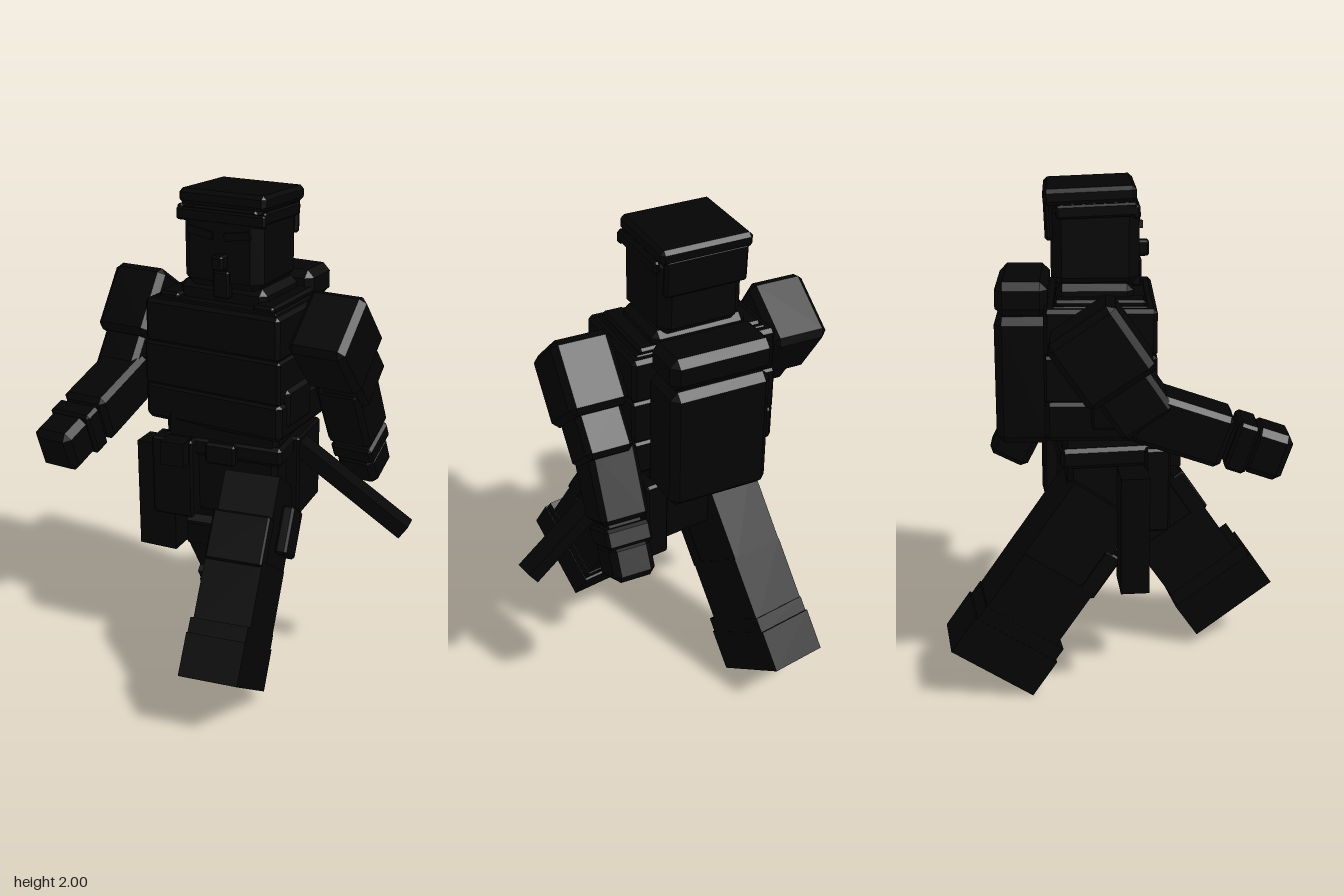
import * as THREE from 'three';
import { ConvexGeometry } from 'three/addons/geometries/ConvexGeometry.js';

const black = new THREE.MeshStandardMaterial({ color: 0x040404 });
black.name = 'matte black';

// Box with chamfered edges: each corner becomes three points
function chamferBox(w, h, d, c) {
  const pts = [];
  for (const x of [-1, 1]) for (const y of [-1, 1]) for (const z of [-1, 1]) {
    for (let k = 0; k < 3; k++) {
      pts.push(new THREE.Vector3(
        x * (w / 2 - (k === 0 ? 0 : c)),
        y * (h / 2 - (k === 1 ? 0 : c)),
        z * (d / 2 - (k === 2 ? 0 : c))));
    }
  }
  return new ConvexGeometry(pts);
}

// Adds a box; c > 0 chamfers it
function box(parent, name, size, pos, c = 0) {
  const geo = c > 0 ? chamferBox(...size, c) : new THREE.BoxGeometry(...size);
  const mesh = new THREE.Mesh(geo, black);
  mesh.name = name;
  mesh.position.set(...pos);
  parent.add(mesh);
  return mesh;
}

// Adds a joint that turns by yaw, then pitch
function joint(parent, name, pos, yaw = 0, pitch = 0) {
  const g = new THREE.Group();
  g.name = name;
  g.position.set(...pos);
  g.rotation.set(pitch, yaw, 0, 'YXZ');
  parent.add(g);
  return g;
}

function addLeg(root, side, pos, pitch) {
  const leg = joint(root, side > 0 ? 'leftLeg' : 'rightLeg', pos, 0.095, pitch);
  box(leg, 'thigh', [0.23, 0.36, 0.3], [0, -0.2, -0.03]);
  box(leg, 'kneePad', [0.235, 0.2, 0.08], [0, -0.285, 0.125], 0.008);
  box(leg, 'shin', [0.235, 0.28, 0.33], [0, -0.5, -0.015]);
  box(leg, 'bootCuff', [0.237, 0.07, 0.37], [0, -0.655, 0]);
  box(leg, 'boot', [0.24, 0.17, 0.39], [0, -0.765, 0]);
  if (side > 0) box(leg, 'thighPocket', [0.05, 0.2, 0.15], [0.14, -0.21, -0.06], 0.01);
}

function addArm(root, side, shoulder, elbow, pitch, bend, reach) {
  const arm = joint(root, side > 0 ? 'leftUpperArm' : 'rightUpperArm', shoulder, -0.08, pitch);
  box(arm, 'shoulderPad', [0.238, 0.29, 0.29], [0, 0, 0], 0.025);
  box(arm, 'upperArm', [0.19, 0.22, 0.22], [0, -0.2, 0], 0.02);
  const fore = joint(root, side > 0 ? 'leftForearm' : 'rightForearm', elbow, -0.09, bend);
  box(fore, 'sleeve', [0.195, 0.28 + reach, 0.2], [0, -0.14 - reach / 2, 0], 0.02);
  box(fore, 'wrist', [0.13, 0.08, 0.13], [0, -0.29 - reach, 0]);
  box(fore, 'gloveCuff', [0.185, 0.08, 0.185], [0, -0.335 - reach, 0], 0.012);
  box(fore, 'hand', [0.17, 0.15, 0.178], [0, -0.435 - reach, 0.003], 0.025);
}

export function createModel() {
  const root = new THREE.Group();
  root.name = 'figure';

  // Legs in mid stride
  addLeg(root, 1, [0.057, 0.86, 0.04], -0.595);
  addLeg(root, -1, [-0.24, 0.803, -0.03], 0.62);

  // Hips, belt and carried gear
  const hips = joint(root, 'hips', [-0.09, 0, -0.05], 0.05);
  box(hips, 'pelvis', [0.46, 0.3, 0.32], [0, 0.83, 0], 0.02);
  box(hips, 'waist', [0.48, 0.16, 0.36], [0, 1.04, 0], 0.02);
  box(hips, 'belt', [0.52, 0.08, 0.38], [0, 0.98, 0], 0.015);
  box(hips, 'buckle', [0.13, 0.09, 0.04], [0.01, 0.97, 0.2], 0.01);
  box(hips, 'frontPouch', [0.18, 0.34, 0.1], [-0.195, 0.845, 0.18], 0.01);
  box(hips, 'beltPouch', [0.1, 0.1, 0.08], [-0.17, 0.97, 0.24]);
  box(hips, 'leftHipPouch', [0.1, 0.35, 0.26], [0.235, 0.845, -0.083], 0.01);
  box(root, 'holster', [0.17, 0.47, 0.11], [-0.395, 0.705, 0.045]);

  // Baton slung outward from the left hip
  const baton = box(root, 'baton', [0.55, 0.063, 0.082], [0.403, 0.82, -0.085]);
  baton.rotation.set(0, 0.09, -0.6);

  // Chest with layered vest
  const torso = joint(root, 'torso', [-0.095, 0, -0.055], -0.08);
  box(torso, 'chest', [0.59, 0.5, 0.4], [0, 1.325, 0], 0.03);
  box(torso, 'lowerVest', [0.62, 0.16, 0.42], [0, 1.145, 0], 0.02);
  box(torso, 'middleVest', [0.61, 0.18, 0.42], [0, 1.305, 0], 0.01);
  box(torso, 'upperVest', [0.6, 0.18, 0.42], [0, 1.48, 0], 0.015);
  box(torso, 'collar', [0.39, 0.1, 0.29], [0, 1.59, -0.02], 0.025);
  for (const s of [-1, 1]) {
    box(torso, 'sidePouch', [0.06, 0.16, 0.2], [s * 0.29, 1.19, 0.06], 0.015);
    box(torso, 'shoulderStrap', [0.09, 0.03, 0.34], [s * 0.21, 1.58, 0], 0.01);
  }

  // Backpack and bedroll
  box(torso, 'backpack', [0.41, 0.5, 0.22], [0.025, 1.26, -0.29], 0.03);
  box(torso, 'bedroll', [0.42, 0.13, 0.2], [0.02, 1.58, -0.295], 0.03);

  // Arms
  addArm(root, 1, [0.335, 1.435, -0.04], [0.325, 1.25, -0.18], 0.72, 0.46, 0.035);
  addArm(root, -1, [-0.525, 1.45, -0.09], [-0.522, 1.23, 0.045], -0.6, -1.25, 0.06);

  // Head, face and cap
  const head = joint(root, 'head', [-0.088, 0, -0.08], -0.06);
  box(head, 'neck', [0.24, 0.14, 0.22], [0, 1.6, 0], 0.02);
  box(head, 'skull', [0.345, 0.32, 0.33], [0, 1.78, 0.005], 0.04);
  box(head, 'nose', [0.05, 0.06, 0.06], [0.01, 1.74, 0.185], 0.008);
  box(head, 'chinGuard', [0.07, 0.11, 0.04], [0.01, 1.65, 0.165], 0.008);
  for (const s of [-1, 1]) {
    box(head, 'brow', [0.11, 0.03, 0.02], [s * 0.08, 1.845, 0.172]).rotation.z = s * 0.15;
  }
  const cap = joint(head, 'cap', [0, 1.93, -0.01], 0, -0.04);
  box(cap, 'capTop', [0.375, 0.06, 0.345], [0, 0.035, -0.003], 0.015);
  box(cap, 'capBand', [0.385, 0.05, 0.03], [0, -0.03, 0.165], 0.008);
  box(cap, 'neckFlap', [0.34, 0.15, 0.03], [0, -0.05, -0.16], 0.01);
  for (const s of [-1, 1]) box(cap, 'sideBand', [0.025, 0.05, 0.3], [s * 0.18, -0.02, 0.02], 0.008);

  return root;
}
